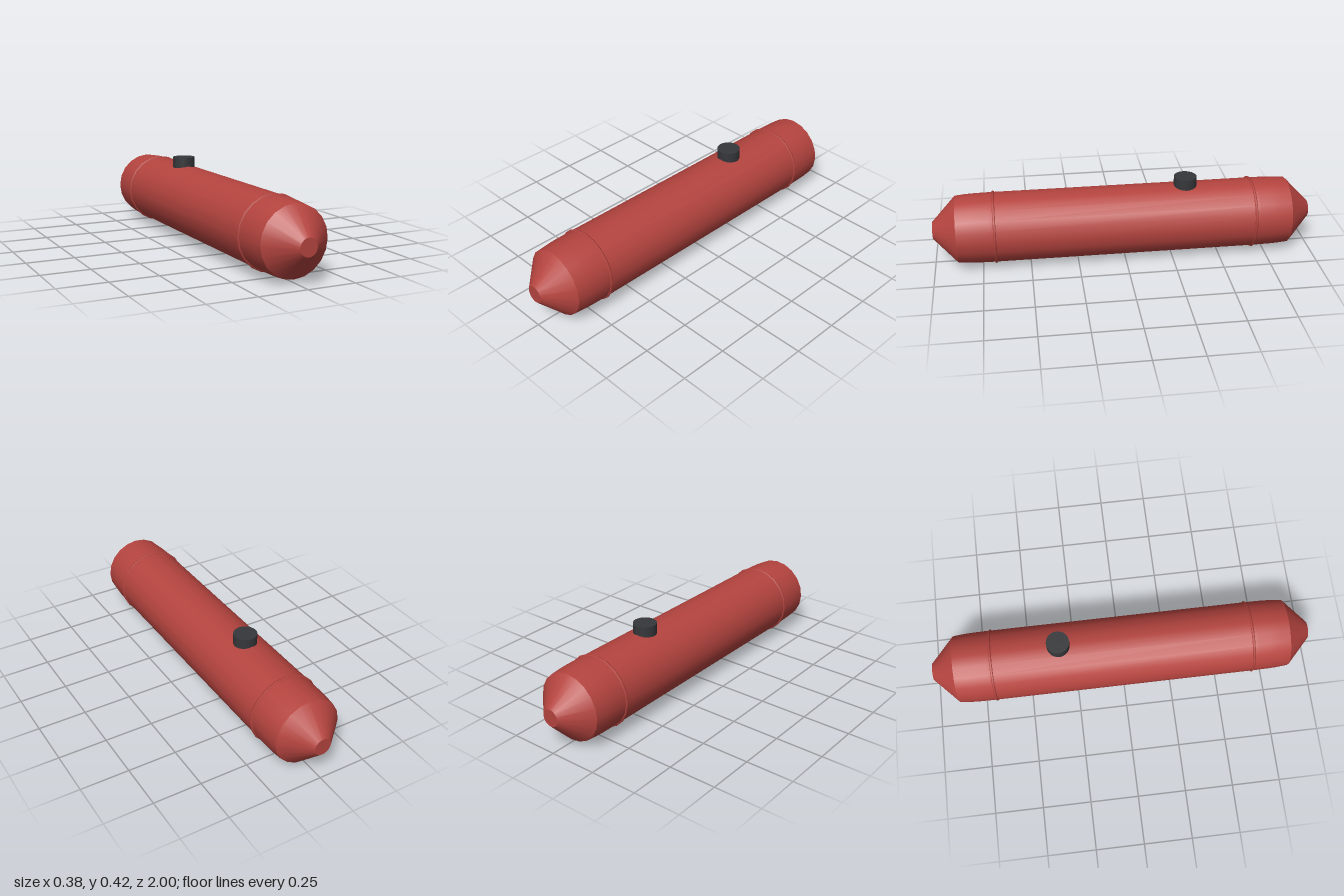
import * as THREE from 'three';

const SIDES = 20;
const AXIS_Y = 0.192;

export function createModel() {
  const group = new THREE.Group();
  const red = new THREE.MeshStandardMaterial({ color: 0xb5443f });
  const dark = new THREE.MeshStandardMaterial({ color: 0x36373a });

  const add = (name, geometry, material, x, y, z) => {
    const mesh = new THREE.Mesh(geometry, material);
    mesh.name = name;
    mesh.position.set(x, y, z);
    group.add(mesh);
    return mesh;
  };

  // Long tank shell, its ends rounding in slightly
  const half = [[0.184, 0.7], [0.183, 0.77], [0.181, 0.82], [0.176, 0.876]];
  const profile = [
    ...half.map(([r, z]) => new THREE.Vector2(r, -z)).reverse(),
    ...half.map(([r, z]) => new THREE.Vector2(r, z)),
  ];
  add('tankShell', new THREE.LatheGeometry(profile, SIDES).rotateX(Math.PI / 2), red, 0, AXIS_Y, 0);

  // Conical end caps with flat tips, and a weld band near each end
  for (const [side, s] of [['front', 1], ['back', -1]]) {
    const cone = new THREE.CylinderGeometry(0.045, 0.176, 0.124, SIDES).rotateX(s * Math.PI / 2);
    add(side + 'EndCap', cone, red, 0, AXIS_Y, s * 0.938);
    // Torus is turned so its corners line up with the shell
    const band = new THREE.TorusGeometry(0.183, 0.008, 6, SIDES);
    add(side + 'Band', band, red, 0, AXIS_Y, s * 0.68);
  }

  // Filler cap on top, towards the back
  add('fillerCap', new THREE.CylinderGeometry(0.06, 0.06, 0.07, 24), dark, 0, 0.388, -0.327);

  return group;
}
